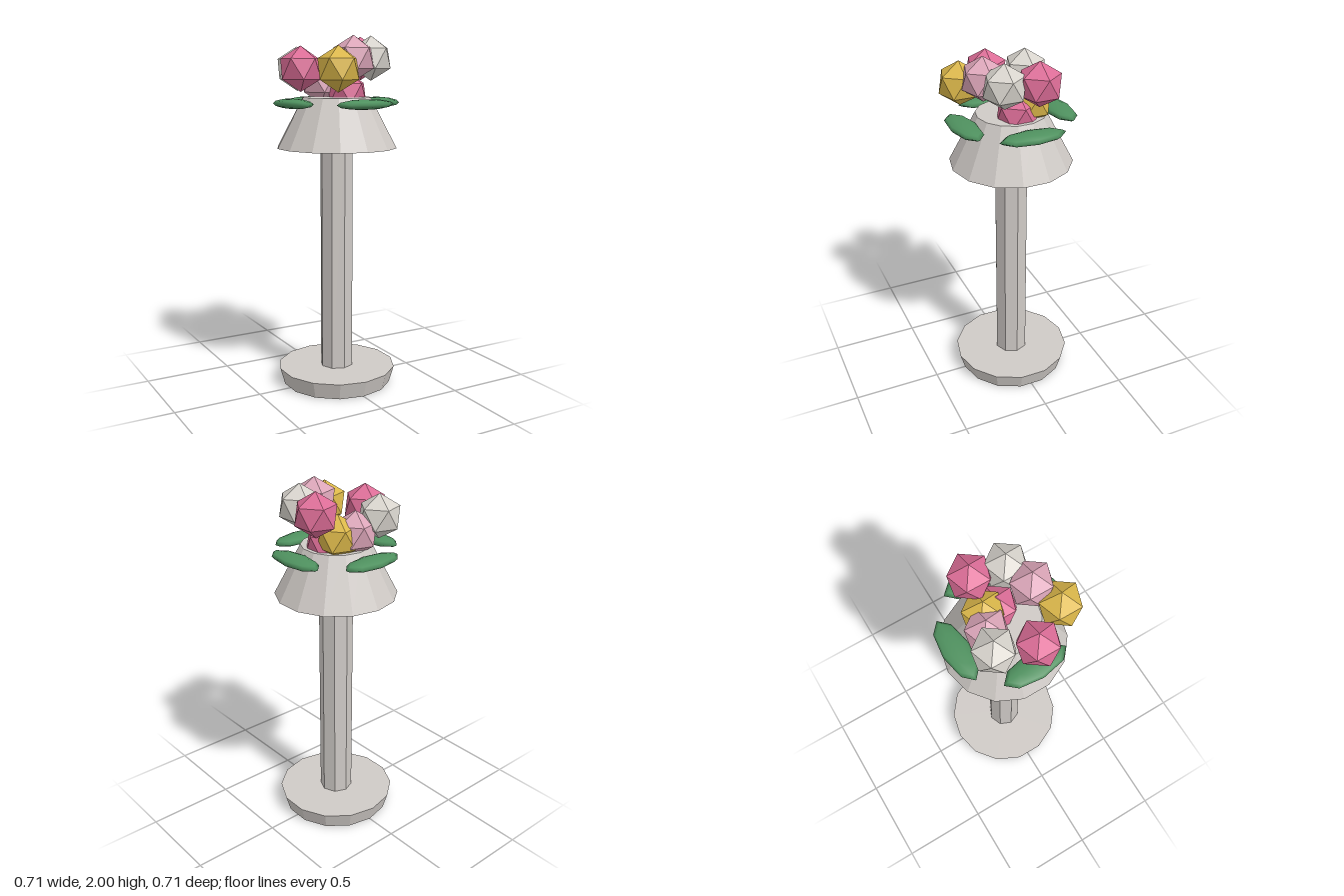
import * as THREE from 'three';

const mat = (name, color, flatShading = true) => {
  const m = new THREE.MeshStandardMaterial({ color, flatShading });
  m.name = name;
  return m;
};

export function createModel() {
  const stone = mat('stone', 0xcfcac6);
  const green = mat('leaf green', 0x4f915f, false);
  const rose = mat('rose', 0xdc6d97);
  const blush = mat('blush', 0xdca6b9);
  const ivory = mat('ivory', 0xd8d4cd);
  const gold = mat('gold', 0xdbb74a);

  const group = new THREE.Group();
  const add = (name, geometry, material, x, y, z) => {
    const mesh = new THREE.Mesh(geometry, material);
    mesh.name = name;
    mesh.position.set(x, y, z);
    group.add(mesh);
    return mesh;
  };

  // Stone stand: flared foot, octagonal column, tapered planter
  const frustum = (name, rTop, rBottom, y0, y1, sides) =>
    add(name, new THREE.CylinderGeometry(rTop, rBottom, y1 - y0, sides), stone, 0, (y0 + y1) / 2, 0);
  frustum('foot', 0.341, 0.314, 0, 0.095, 14);
  frustum('column', 0.095, 0.095, 0.095, 1.382, 8);
  frustum('planter', 0.193, 0.341, 1.382, 1.664, 14);

  // Four flattened leaves around the rim, each lying along its tangent
  const leafGeo = new THREE.SphereGeometry(0.187, 8, 6).scale(1, 0.15, 0.4);
  [0.08, Math.PI / 2, Math.PI + 0.03, Math.PI * 1.5 + 0.05].forEach((a) => {
    const leaf = add('leaf', leafGeo, green, 0.28 * Math.sin(a), 1.633, 0.28 * Math.cos(a));
    leaf.rotation.y = a;
  });

  // Faceted blossoms, turned so that one corner points straight up
  const blossomGeo = new THREE.IcosahedronGeometry(0.123, 0).rotateZ(-0.5536);
  [
    [rose, -0.246, 1.82, 0.043],
    [rose, 0.197, 1.877, -0.072],
    [rose, 0.07, 1.685, -0.005],
    [ivory, -0.168, 1.82, -0.156],
    [ivory, 0.158, 1.877, 0.106],
    [blush, -0.034, 1.745, -0.118],
    [blush, 0.013, 1.877, 0.163],
    [gold, 0.06, 1.735, -0.081],
    [gold, -0.125, 1.82, 0.242],
  ].forEach(([m, x, y, z]) => add('blossom', blossomGeo, m, x, y, z));

  return group;
}
